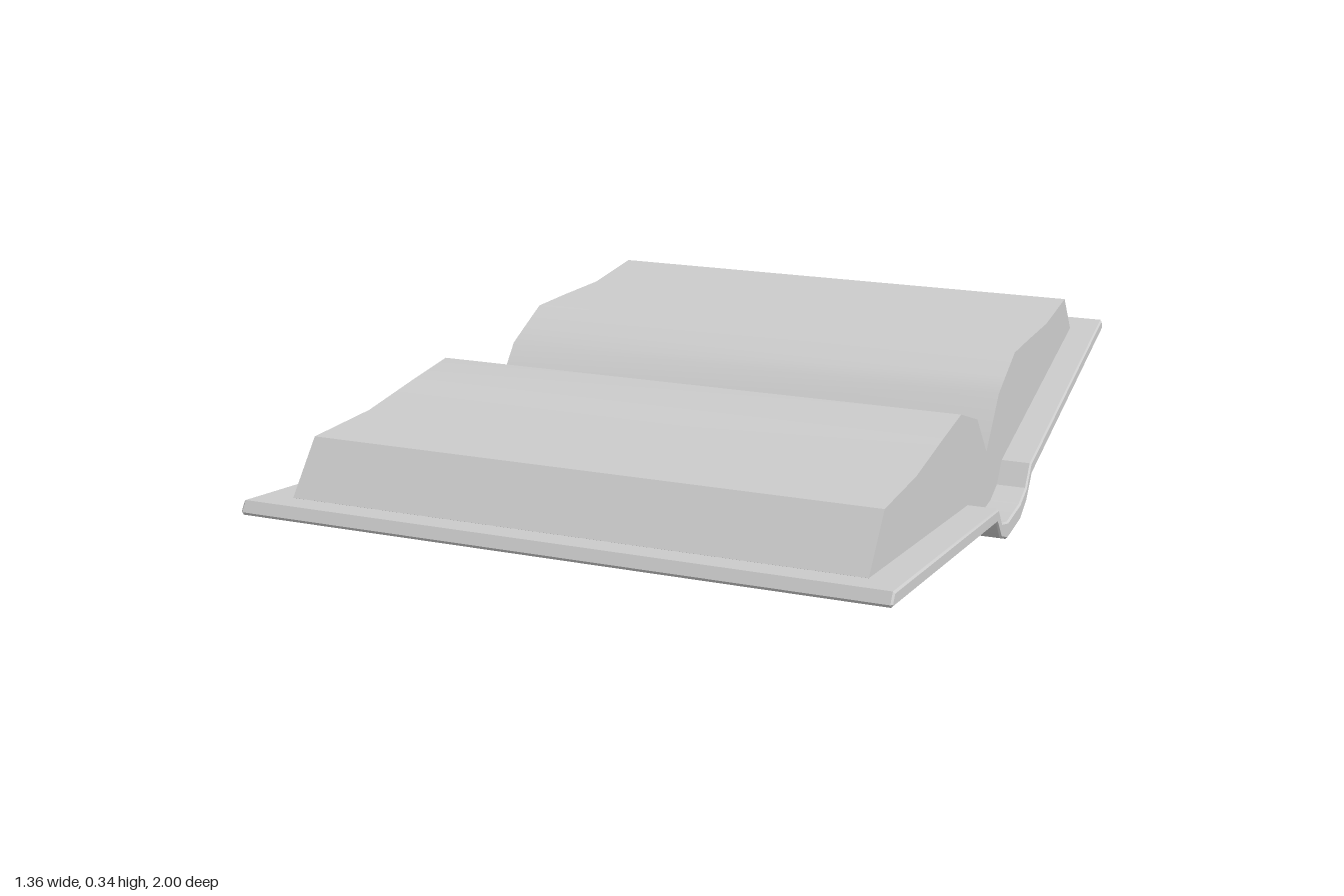
import * as THREE from 'three';
import { toCreasedNormals } from 'three/addons/utils/BufferGeometryUtils.js';

// Mirrors half a [z, y] line across z = 0, running from +z to -z
function mirrored(half) {
  const other = half.filter(([z]) => z > 0).map(([z, y]) => [-z, y]);
  return [...half.slice().reverse(), ...other];
}

// Extrudes a closed [z, y] section along x, centred on x = 0
function slab(name, points, width, bevel) {
  const shape = new THREE.Shape(points.map(([z, y]) => new THREE.Vector2(z, y)));
  const depth = width - 2 * bevel;
  const geo = new THREE.ExtrudeGeometry(shape, {
    depth, bevelEnabled: bevel > 0, bevelThickness: bevel, bevelSize: bevel,
    bevelOffset: -bevel, bevelSegments: 1,
  });
  geo.translate(0, 0, -depth / 2);
  geo.rotateY(-Math.PI / 2);
  const material = new THREE.MeshStandardMaterial({ color: 0xcccccc });
  const mesh = new THREE.Mesh(toCreasedNormals(geo, 0.55), material);
  mesh.name = name;
  return mesh;
}

export function createModel() {
  const book = new THREE.Group();
  book.name = 'openBook';

  // Cover: two sloping boards joined by a bent spine
  const inner = [[0.06, 0.04], [0.12, 0.058], [0.16, 0.105], [0.985, 0.237]];
  const outer = [[0.065, 0], [0.125, 0.025], [0.17, 0.076], [0.995, 0.209], [1, 0.216]];
  book.add(slab('cover', [...mirrored(inner), ...mirrored(outer).reverse()], 1.36, 0.004));

  // Pages: curved leaves above, resting on the cover below
  const leaves = [[0, 0.177], [0.1, 0.283], [0.16, 0.306], [0.25, 0.34],
    [0.4, 0.332], [0.6, 0.319], [0.82, 0.328], [0.915, 0.226]];
  const rest = [[0.06, 0.038], [0.12, 0.056], [0.16, 0.102], [0.91, 0.222]];
  book.add(slab('pages', [...mirrored(leaves), ...mirrored(rest).reverse()], 1.22, 0));

  return book;
}
